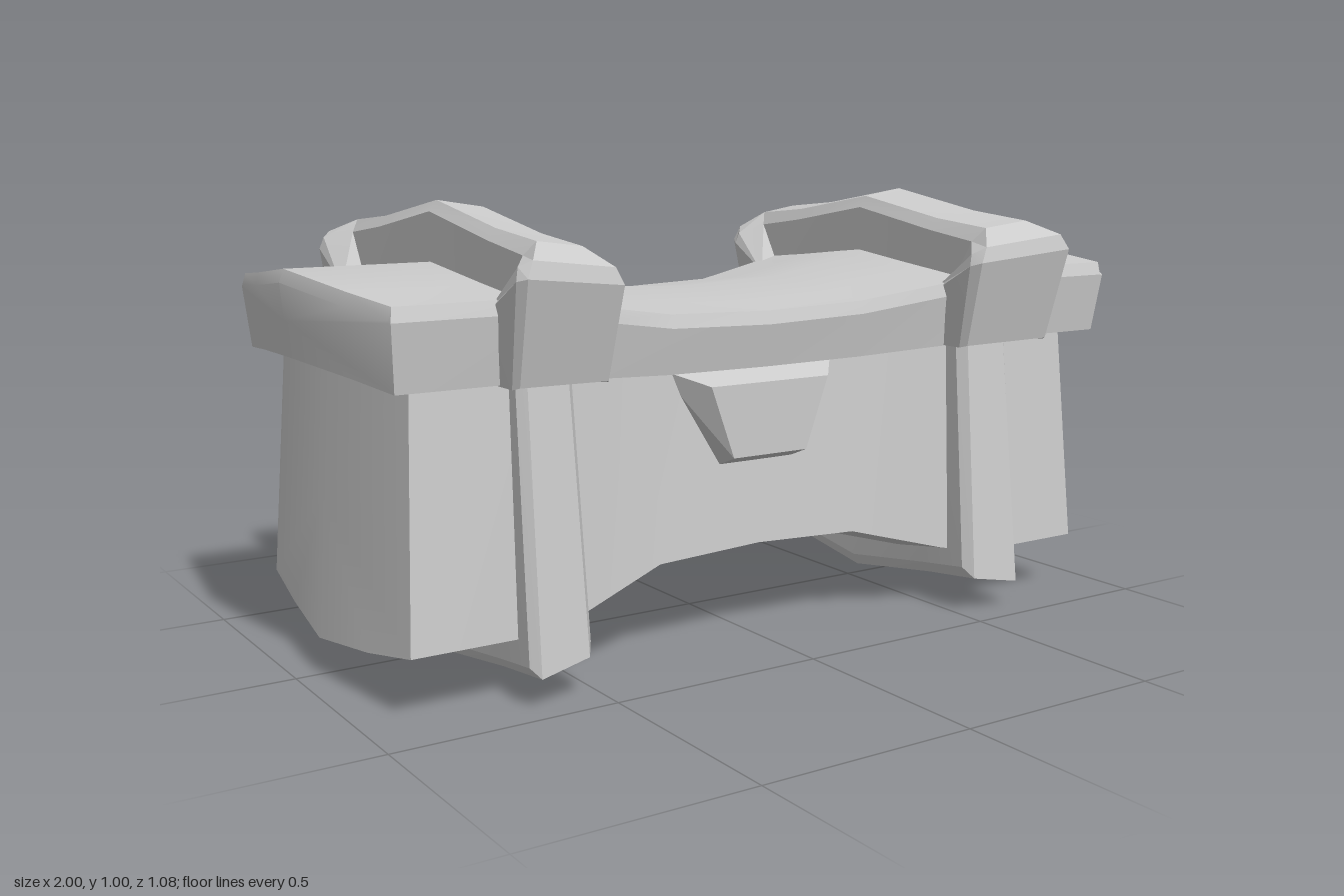
import * as THREE from 'three';
import { toCreasedNormals } from 'three/addons/utils/BufferGeometryUtils.js';
import { ConvexGeometry } from 'three/addons/geometries/ConvexGeometry.js';

const material = new THREE.MeshStandardMaterial({ color: 0xcccccc });

// Skin a list of equal-length rings of [x, y, z] and close both ends with fans.
function loft(rings, crease = 0.45) {
  const pos = [];
  const tri = (a, b, c) => pos.push(...a, ...b, ...c);
  const n = rings[0].length;
  for (let i = 0; i < rings.length - 1; i++) {
    for (let j = 0; j < n; j++) {
      const k = (j + 1) % n;
      const a = rings[i][j], b = rings[i][k], c = rings[i + 1][k], d = rings[i + 1][j];
      tri(a, d, c);
      tri(a, c, b);
    }
  }
  const middle = (r) => r[0].map((v, i) => (v + r[n / 2][i]) / 2);
  const first = rings[0], last = rings[rings.length - 1];
  for (let j = 0; j < n; j++) {
    const k = (j + 1) % n;
    tri(middle(first), first[j], first[k]);
    tri(middle(last), last[k], last[j]);
  }
  const g = new THREE.BufferGeometry();
  g.setAttribute('position', new THREE.Float32BufferAttribute(pos, 3));
  return toCreasedNormals(g, crease);
}

// Complete a half outline (bottom centre to top centre) with its -z mirror.
function mirrorRing(half) {
  const back = half.slice(1, -1).reverse().map(([x, y, z]) => [x, y, -z]);
  return [...half, ...back];
}

// Loft stations given for x >= 0 across to the -x side.
function loftAcross(stations, ringAt) {
  const left = stations.map((s) => ringAt(s, 1));
  const right = stations.slice(1).reverse().map((s) => ringAt(s, -1));
  return loft([...right, ...left]);
}

function add(group, name, geometry) {
  const mesh = new THREE.Mesh(geometry, material);
  mesh.name = name;
  group.add(mesh);
  return mesh;
}

// Body: waisted box with a keel-shaped underside and slightly pointed ends.
function bodyGeometry() {
  const stations = [ // x, bottom half depth, top half depth, edge y, keel y
    [0, 0.29, 0.255, 0.22, 0.182],
    [0.27, 0.297, 0.262, 0.21, 0.17],
    [0.5, 0.357, 0.317, 0.15, 0.104],
    [0.6, 0.39, 0.35, 0.135, 0.082],
    [0.945, 0.39, 0.35, 0.135, 0.082],
  ];
  return loftAcross(stations, ([x, zb, zt, ye, yk], side) => {
    const end = x > 0.9;
    const half = [
      [yk, 0], [yk + (ye - yk) * 0.42, zb * 0.55], [ye, zb], [0.69, zt], [0.7, 0],
    ].map(([y, z]) => [side * (end ? x - 0.1 * z - 0.06 * (y - 0.08) : x), y, z]);
    return mirrorRing(half);
  });
}

// Lid: shallow gabled slab following the same waist, with chamfered top edges.
function lidGeometry() {
  const stations = [ // x, half depth, ridge y, edge y, bottom y, chamfer drop at the end
    [0, 0.332, 0.787, 0.757, 0.63, 0],
    [0.26, 0.338, 0.798, 0.765, 0.633, 0],
    [0.48, 0.395, 0.842, 0.8, 0.65, 0],
    [0.6, 0.432, 0.873, 0.83, 0.662, 0],
    [0.99, 0.432, 0.873, 0.83, 0.662, 0],
    [1, 0.432, 0.873, 0.83, 0.662, 0.028],
  ];
  return loftAcross(stations, ([x, z, yr, ye, yb, drop], side) => {
    const end = x > 0.9;
    const half = [
      [yb + 0.028, 0], [yb + 0.012, z * 0.6], [yb, z - 0.02], [ye - 0.03, z],
      [ye - drop * 0.9, z - 0.01], [ye + (yr - ye) * 0.35 - drop, z * 0.6], [yr - drop, 0],
    ].map(([y, pz]) => [side * (end ? x - 0.13 * pz - 0.1 * Math.max(0, 0.84 - y) : x), y, pz]);
    return mirrorRing(half);
  });
}

// Strap: chamfered section swept in the y-z plane, leaning with the waist.
// Station: inner z, y, chamfer z, y, face z, y, base half width, face half width
function strapGeometry(halfPath) {
  const flip = ([a, b, c, d, e, f, w, v]) => [-a, b, -c, d, -e, f, w, v];
  const path = [...halfPath, ...halfPath.slice(0, -1).reverse().map(flip)];
  const rings = path.map(([iz, iy, mz, my, oz, oy, w, v]) => [
    [w, iy, iz], [w, my, mz], [v, oy, oz], [-v, oy, oz], [-w, my, mz], [-w, iy, iz],
  ].map(([dx, y, z]) => [0.592 + dx, y + 0.35 * (y - 0.55) * dx, z * (1 + 0.34 * dx)]));
  return loft(rings, 0.2);
}

export function createModel() {
  const model = new THREE.Group();
  model.name = 'chest';
  add(model, 'body', bodyGeometry());
  add(model, 'lid', lidGeometry());

  // Lid straps: flared front and back ends, narrow ridge over the top
  const lidStrap = strapGeometry([
    [0.34, 0.655, 0.445, 0.655, 0.462, 0.66, 0.117, 0.108],
    [0.37, 0.79, 0.492, 0.858, 0.517, 0.865, 0.13, 0.117],
    [0.37, 0.8, 0.485, 0.885, 0.508, 0.9, 0.122, 0.1],
    [0.36, 0.8, 0.425, 0.905, 0.447, 0.935, 0.075, 0.055],
    [0.27, 0.8, 0.27, 0.925, 0.275, 0.951, 0.073, 0.055],
    [0, 0.8, 0, 0.97, 0, 0.996, 0.073, 0.055],
  ]);
  // Body straps: down the back, under the keel and up the front
  const bodyStrap = strapGeometry([
    [-0.28, 0.69, -0.368, 0.69, -0.388, 0.69, 0.068, 0.05],
    [-0.32, 0.17, -0.427, 0.1, -0.451, 0.077, 0.077, 0.06],
    [-0.28, 0.17, -0.28, 0.08, -0.28, 0.056, 0.075, 0.06],
    [0, 0.15, 0, 0.038, 0, 0.012, 0.073, 0.06],
  ]);
  for (const [side, turn] of [['left', 0], ['right', Math.PI]]) {
    add(model, side + 'LidStrap', lidStrap).rotation.y = turn;
    add(model, side + 'BodyStrap', bodyStrap).rotation.y = turn;
  }

  // Clasp: tapered block under the front edge of the lid
  const corners = [];
  for (const s of [-1, 1]) {
    corners.push(
      new THREE.Vector3(s * 0.24, 0.635, 0.24), new THREE.Vector3(s * 0.1, 0.405, 0.26),
      new THREE.Vector3(s * 0.16, 0.6, 0.335), new THREE.Vector3(s * 0.1, 0.435, 0.335),
    );
  }
  add(model, 'clasp', new ConvexGeometry(corners));
  return model;
}
